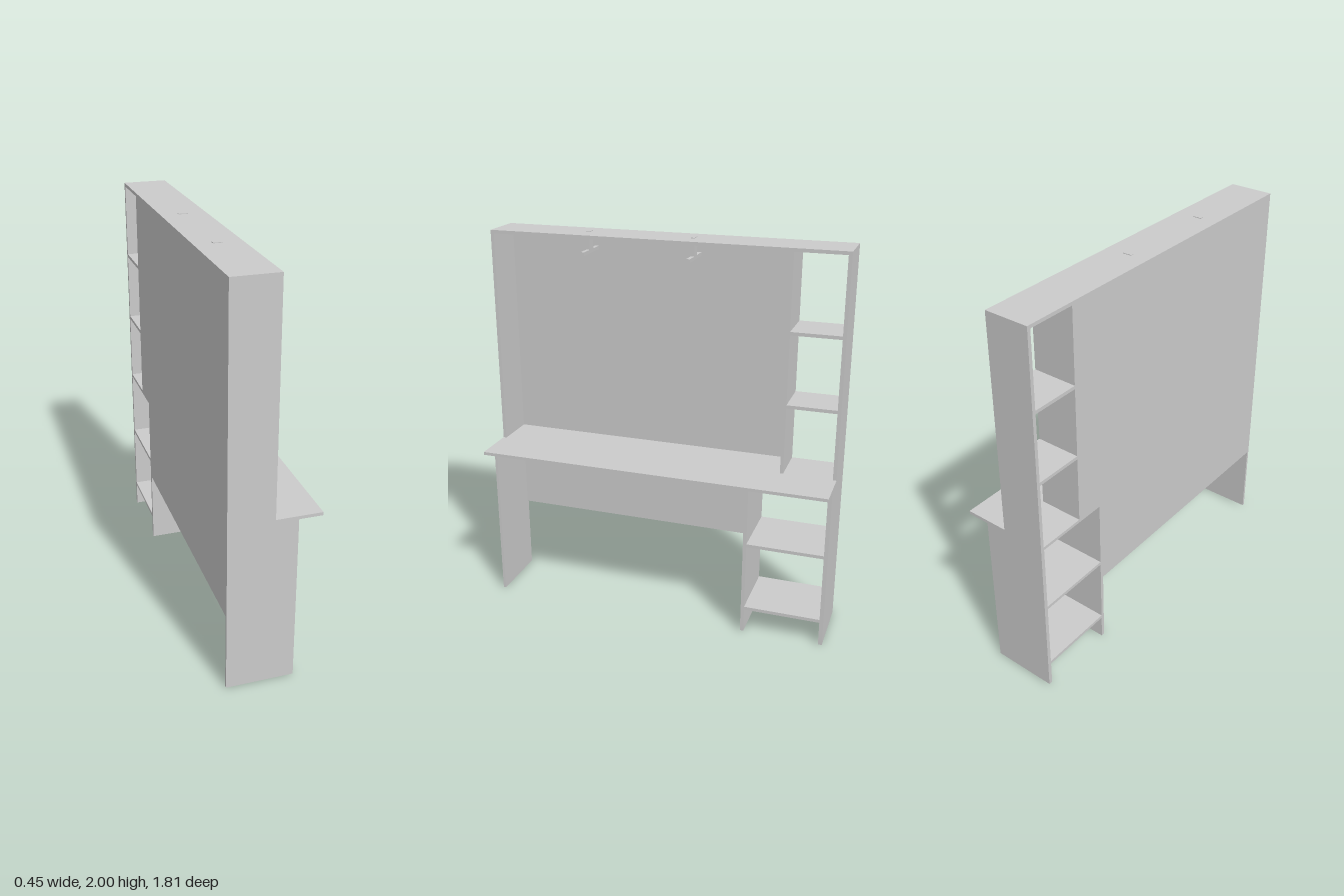
import * as THREE from 'three';

export function createModel() {
  const group = new THREE.Group();
  const material = new THREE.MeshStandardMaterial({ color: 0xcccccc });

  // Board given by its extents along x, y and z
  function board(name, [x0, x1], [y0, y1], [z0, z1]) {
    const mesh = new THREE.Mesh(new THREE.BoxGeometry(x1 - x0, y1 - y0, z1 - z0), material);
    mesh.position.set((x0 + x1) / 2, (y0 + y1) / 2, (z0 + z1) / 2);
    mesh.name = name;
    group.add(mesh);
  }

  const END = 0.907, BACK = -0.225, TOP = 1.997;
  const upper = [BACK, 0], lower = [BACK, 0.11];
  const deskY = [0.859, 0.875];
  const upperY = [deskY[1], TOP - 0.017], lowerY = [0, deskY[0]];

  // Desk top, and the top board of the hutch
  board('deskTop', [BACK, 0.225], deskY, [-END, END]);
  board('hutchTop', upper, [TOP - 0.017, TOP], [-END, END]);

  // Hutch uprights
  board('hutchEndWall', upper, upperY, [0.89, END]);
  board('hutchDivider', upper, upperY, [-0.641, -0.625]);
  board('hutchShelfWall', upper, upperY, [-END, -0.889]);

  // Desk legs
  board('endLeg', lower, lowerY, [0.893, END]);
  board('cabinetInnerLeg', lower, lowerY, [-0.493, -0.475]);
  board('cabinetOuterLeg', lower, lowerY, [-END, -0.887]);

  // Open shelves above and below the desk
  for (const y of [1.22, 1.586]) board('hutchShelf', upper, [y, y + 0.017], [-0.889, -0.641]);
  for (const y of [0.128, 0.493]) board('cabinetShelf', lower, [y, y + 0.017], [-0.887, -0.493]);

  // Back panels
  const panel = [BACK, BACK + 0.012];
  board('hutchBackPanel', panel, upperY, [-0.625, 0.89]);
  board('modestyPanel', panel, [0.4, deskY[0]], [-0.475, 0.893]);

  // Hanging brackets: a flat stem through the top board and a crossbar below
  for (const z of [0.417, -0.129]) {
    const width = [z - 0.0095, z + 0.0095];
    board('bracketStem', [-0.138, -0.092], [1.91, 2], width);
    board('bracketBar', [-0.21, -0.02], [1.893, 1.91], width);
  }
  return group;
}
